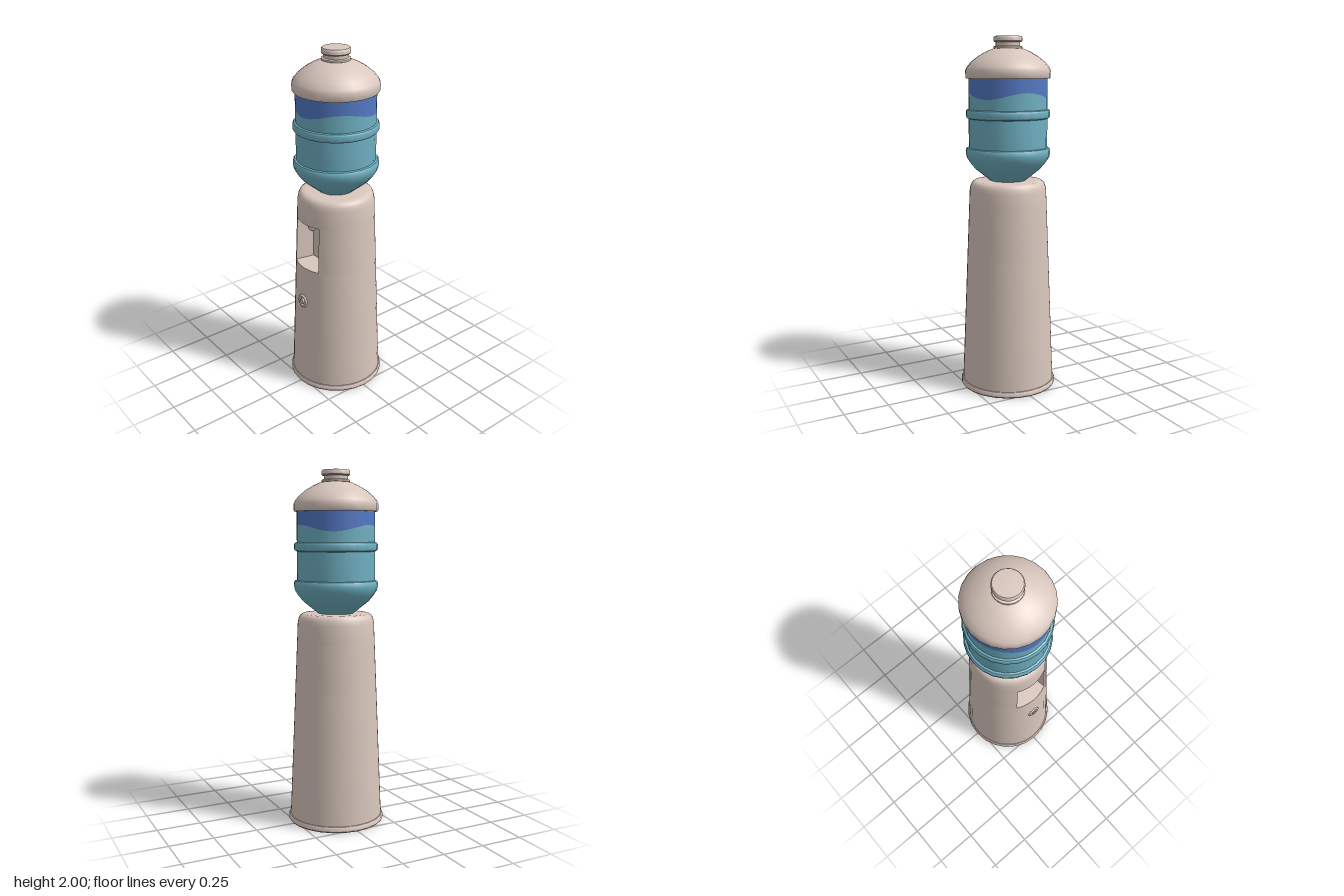
import * as THREE from 'three';
import { toCreasedNormals } from 'three/addons/utils/BufferGeometryUtils.js';

export function createModel() {
  const group = new THREE.Group();
  const mat = (name, color) => {
    const m = new THREE.MeshStandardMaterial({ color, side: THREE.DoubleSide });
    m.name = name;
    return m;
  };
  const beige = mat('beige plastic', 0xd9c7bd);
  const teal = mat('teal water', 0x6fb0c2);
  const blue = mat('blue bottle', 0x5479c4);

  const add = (name, geometry, material, parent = group) => {
    const mesh = new THREE.Mesh(geometry, material);
    mesh.name = name;
    parent.add(mesh);
    return mesh;
  };
  const lathe = (points, segments = 24, start = 0, length = Math.PI * 2) =>
    toCreasedNormals(new THREE.LatheGeometry(
      points.map(([r, y]) => new THREE.Vector2(r, y)), segments, start, length), 0.6);

  // Tapered stand, split around the opening of the tap niche
  const radius = (y) => 0.265 - (y - 0.03) * 0.0429;
  const half = THREE.MathUtils.degToRad(27);
  const y0 = 0.775, y1 = 1.045;
  add('standLower', lathe([[radius(0.03), 0.03], [radius(y0), y0]], 40), beige);
  add('standMiddle', lathe([[radius(y0), y0], [radius(y1), y1]], 34, half, Math.PI * 2 - 2 * half), beige);
  add('standTop', lathe([[radius(y1), y1], [radius(1.15), 1.15], [0.212, 1.175], [0.204, 1.193],
    [0.19, 1.203], [0.17, 1.205], [0, 1.205]], 40), beige);
  add('baseRim', lathe([[0, 0.004], [0.25, 0.004], [0.255, 0], [0.272, 0], [0.276, 0.006],
    [0.275, 0.024], [0.27, 0.032], [0.262, 0.034]]), beige);

  // Niche: floor, ceiling, two side walls and a back wall
  const niche = new THREE.Group();
  niche.name = 'tapNiche';
  group.add(niche);
  const backX = 0.085, backZ = 0.1;
  const slab = (name, y) => {
    const shape = new THREE.Shape();
    shape.moveTo(-backX, -backZ);
    for (let i = -3; i <= 3; i++) {
      const a = (i / 3) * half;
      shape.lineTo(radius(y) * Math.sin(a), -radius(y) * Math.cos(a));
    }
    shape.lineTo(backX, -backZ);
    const geometry = new THREE.ShapeGeometry(shape).rotateX(-Math.PI / 2).translate(0, y, 0);
    if (y === y1) { // turn the ceiling to face down
      geometry.index.array.reverse();
      geometry.computeVertexNormals();
    }
    add(name, geometry, beige, niche);
  };
  slab('nicheFloor', y0);
  slab('nicheCeiling', y1);
  const quad = (name, corners) => {
    const geometry = new THREE.BufferGeometry();
    geometry.setAttribute('position', new THREE.Float32BufferAttribute(corners.flat(), 3));
    geometry.setIndex([0, 1, 2, 0, 2, 3]);
    geometry.computeVertexNormals();
    add(name, geometry, beige, niche);
  };
  const edge = (side, y) => [side * radius(y) * Math.sin(half), y, radius(y) * Math.cos(half)];
  const back = (side, y) => [side * backX, y, backZ];
  quad('nicheBack', [back(-1, y0), back(1, y0), back(1, y1), back(-1, y1)]);
  quad('nicheRightWall', [edge(-1, y0), back(-1, y0), back(-1, y1), edge(-1, y1)]);
  quad('nicheLeftWall', [back(1, y0), edge(1, y0), edge(1, y1), back(1, y1)]);

  // Tap hanging from the niche ceiling
  const tap = lathe([[0, 0.993], [0.014, 0.996], [0.023, 1.007], [0.025, 1.02], [0.025, y1]], 16);
  add('tap', tap.translate(0, 0, 0.17), beige, niche);

  // Round knob on the front
  const knob = new THREE.Group();
  knob.name = 'frontKnob';
  knob.position.set(0, 0.557, radius(0.557));
  knob.rotation.x = -0.043;
  group.add(knob);
  add('knobRing', new THREE.TorusGeometry(0.031, 0.008, 8, 24), beige, knob);
  add('knobCentre', new THREE.CylinderGeometry(0.015, 0.017, 0.02, 16).rotateX(Math.PI / 2), beige, knob);

  // Bottle filled with water, with two raised hoops
  add('bottleLower', lathe([[0.09, 1.2], [0.105, 1.208], [0.14, 1.236], [0.185, 1.272], [0.215, 1.308],
    [0.232, 1.335], [0.238, 1.36], [0.237, 1.38], [0.231, 1.389], [0.22, 1.392], [0.22, 1.552],
    [0.23, 1.556], [0.235, 1.564], [0.235, 1.592], [0.23, 1.6], [0.22, 1.604]]), teal);

  // Wavy water line between two bands of the bottle wall
  const wave = (x, z) => 1.68 - 0.018 * Math.cos(3 * Math.atan2(x, z));
  const band = (name, bottom, top, material) => {
    const geometry = new THREE.CylinderGeometry(0.219, 0.219, 1, 48, 1, true);
    const p = geometry.attributes.position;
    for (let i = 0; i < p.count; i++) {
      const end = p.getY(i) > 0 ? top : bottom;
      p.setY(i, end ?? wave(p.getX(i), p.getZ(i)));
    }
    add(name, geometry, material);
  };
  band('waterBand', 1.6, null, teal);
  band('emptyBand', null, 1.78, blue);

  // Domed shoulder with neck and cap
  add('bottleDome', lathe([[0.215, 1.772], [0.232, 1.772], [0.236, 1.778], [0.236, 1.815], [0.228, 1.833],
    [0.205, 1.86], [0.17, 1.888], [0.13, 1.912], [0.09, 1.93], [0.072, 1.934]]), beige);
  add('neckAndCap', lathe([[0.072, 1.932], [0.079, 1.935], [0.079, 1.944], [0.067, 1.948], [0.067, 1.966],
    [0.075, 1.968], [0.079, 1.973], [0.079, 1.991], [0.074, 1.999], [0.065, 2], [0, 2]]), beige);

  return group;
}
